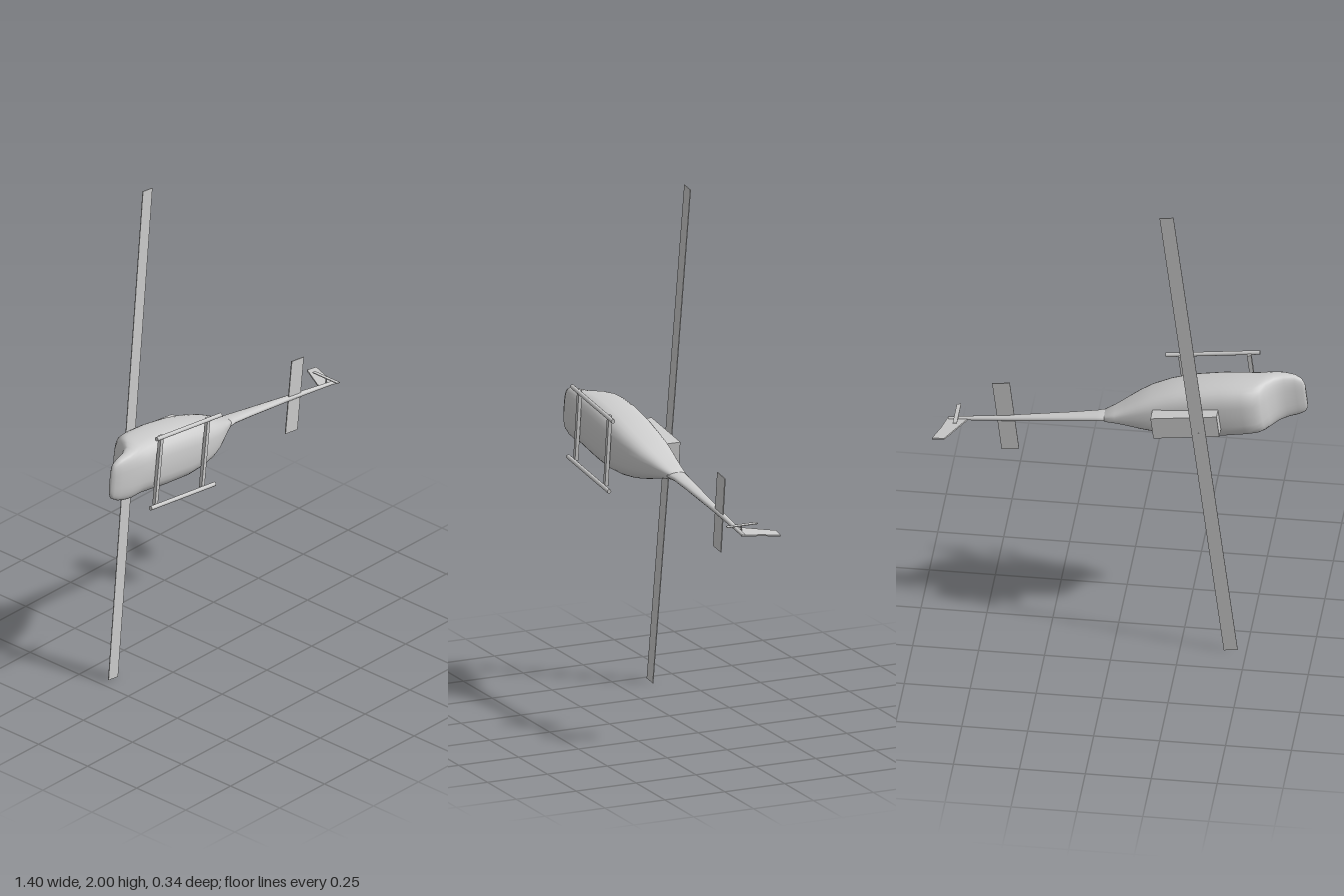
import * as THREE from 'three';

const grey = new THREE.MeshStandardMaterial({ color: 0xcccccc });
const greyThin = new THREE.MeshStandardMaterial({ color: 0xcccccc, side: THREE.DoubleSide });

function add(parent, name, geometry, x, y, z, material = grey) {
  const mesh = new THREE.Mesh(geometry, material);
  mesh.name = name;
  mesh.position.set(x, y, z);
  parent.add(mesh);
  return mesh;
}

// Rounded-square cross-sections lofted along x: [x, zRoof, zBelly, halfWidth, yCentre]
function loft(sections, sides = 28, power = 2.9) {
  const pos = [], index = [];
  const bend = (c) => Math.sign(c) * Math.abs(c) ** (2 / power);
  for (const [x, roof, belly, half, yc] of sections) {
    const mid = (roof + belly) / 2, h = (belly - roof) / 2;
    for (let j = 0; j < sides; j++) {
      const t = (j / sides) * Math.PI * 2;
      pos.push(x, yc + half * bend(Math.cos(t)), mid + h * bend(Math.sin(t)));
    }
  }
  for (let i = 0; i < sections.length - 1; i++) {
    for (let j = 0; j < sides; j++) {
      const k = (j + 1) % sides;
      const a = i * sides + j, b = i * sides + k, c = a + sides, d = b + sides;
      index.push(a, b, c, b, d, c);
    }
  }
  // End caps
  [0, sections.length - 1].forEach((s) => {
    const [x, roof, belly, , yc] = sections[s];
    const centre = pos.length / 3;
    pos.push(x, yc, (roof + belly) / 2);
    for (let j = 0; j < sides; j++) {
      const a = s * sides + j, b = s * sides + ((j + 1) % sides);
      if (s === 0) index.push(centre, b, a);
      else index.push(centre, a, b);
    }
  });
  const geo = new THREE.BufferGeometry();
  geo.setAttribute('position', new THREE.Float32BufferAttribute(pos, 3));
  geo.setIndex(index);
  geo.computeVertexNormals();
  return geo;
}

export function createModel() {
  const model = new THREE.Group();
  model.name = 'helicopter';

  // Nose towards -x, roof towards -z, sideways along y, yawed slightly
  const craft = new THREE.Group();
  craft.name = 'aircraft';
  craft.position.set(0, 0.96, 0);
  craft.rotation.z = -0.119;
  model.add(craft);

  // Cabin
  add(craft, 'fuselage', loft([
    [-0.705, 0.087, 0.1, 0.05, 0],
    [-0.695, 0.079, 0.11, 0.072, 0.002],
    [-0.67, 0.073, 0.121, 0.086, 0.004],
    [-0.63, 0.062, 0.129, 0.095, 0.006],
    [-0.595, 0.038, 0.132, 0.1, 0.007],
    [-0.57, 0.0, 0.134, 0.103, 0.008],
    [-0.55, -0.034, 0.135, 0.105, 0.009],
    [-0.525, -0.055, 0.136, 0.107, 0.009],
    [-0.48, -0.062, 0.137, 0.11, 0.01],
    [-0.4, -0.065, 0.139, 0.112, 0.01],
    [-0.28, -0.063, 0.14, 0.107, 0.009],
    [-0.2, -0.06, 0.132, 0.095, 0.008],
    [-0.13, -0.058, 0.116, 0.079, 0.007],
    [-0.08, -0.055, 0.096, 0.062, 0.006],
    [-0.03, -0.05, 0.068, 0.042, 0.005],
    [0.01, -0.047, 0.045, 0.026, 0.004],
    [0.05, -0.044, 0.025, 0.015, 0.003],
  ]), 0, 0, 0);

  // Tail boom
  add(craft, 'tailBoom', loft([
    [0.03, -0.045, 0.033, 0.014, 0.003],
    [0.08, -0.042, 0.021, 0.013, 0.003],
    [0.17, -0.036, 0.015, 0.012, 0.002],
    [0.42, -0.02, 0.006, 0.01, 0],
    [0.65, -0.006, 0.009, 0.006, 0],
  ], 14, 2.2), 0, 0, 0);

  // Engine cover and rotor mast
  add(craft, 'engineCover', new THREE.BoxGeometry(0.252, 0.09, 0.07), -0.267, 0.005, -0.075);
  const mast = add(craft, 'rotorMast', new THREE.CylinderGeometry(0.005, 0.005, 0.06, 10), -0.325, 0.004, -0.125);
  mast.rotation.x = Math.PI / 2;

  // Main rotor, slightly tilted sideways
  const rotor = add(craft, 'mainRotorBlade', new THREE.BoxGeometry(0.053, 2.008, 0.003), -0.325, 0.004, -0.152);
  rotor.rotation.x = -0.021;

  // Landing skids
  for (const side of [-1, 1]) {
    const rail = add(craft, 'skidRail', new THREE.CylinderGeometry(0.0085, 0.0085, 0.36, 10), -0.358, 0.012 + side * 0.143, 0.159);
    rail.rotation.z = Math.PI / 2;
  }
  for (const x of [-0.498, -0.236]) {
    add(craft, 'skidCrossbar', new THREE.BoxGeometry(0.016, 0.286, 0.014), x, 0.012, 0.146);
  }

  // Stabiliser across the boom
  add(craft, 'stabiliser', new THREE.BoxGeometry(0.067, 0.3, 0.004), 0.431, 0.006, -0.002);

  // Swept tail fin, drawn in the x-z plane
  const outline = [[0.575, 0.008], [0.65, 0.135], [0.697, 0.131], [0.67, 0.06], [0.652, -0.01], [0.6, -0.004]];
  const finShape = new THREE.Shape(outline.map(([x, up]) => new THREE.Vector2(x, up)));
  const finGeo = new THREE.ExtrudeGeometry(finShape, { depth: 0.006, bevelEnabled: false });
  finGeo.rotateX(-Math.PI / 2);
  add(craft, 'tailFin', finGeo, 0, -0.004, 0, greyThin);

  // Tail rotor on its short shaft
  add(craft, 'tailRotorShaft', new THREE.CylinderGeometry(0.003, 0.003, 0.03, 8), 0.614, 0.012, -0.006);
  add(craft, 'tailRotorBlade', new THREE.BoxGeometry(0.016, 0.003, 0.126), 0.614, 0.026, -0.008);

  return model;
}
